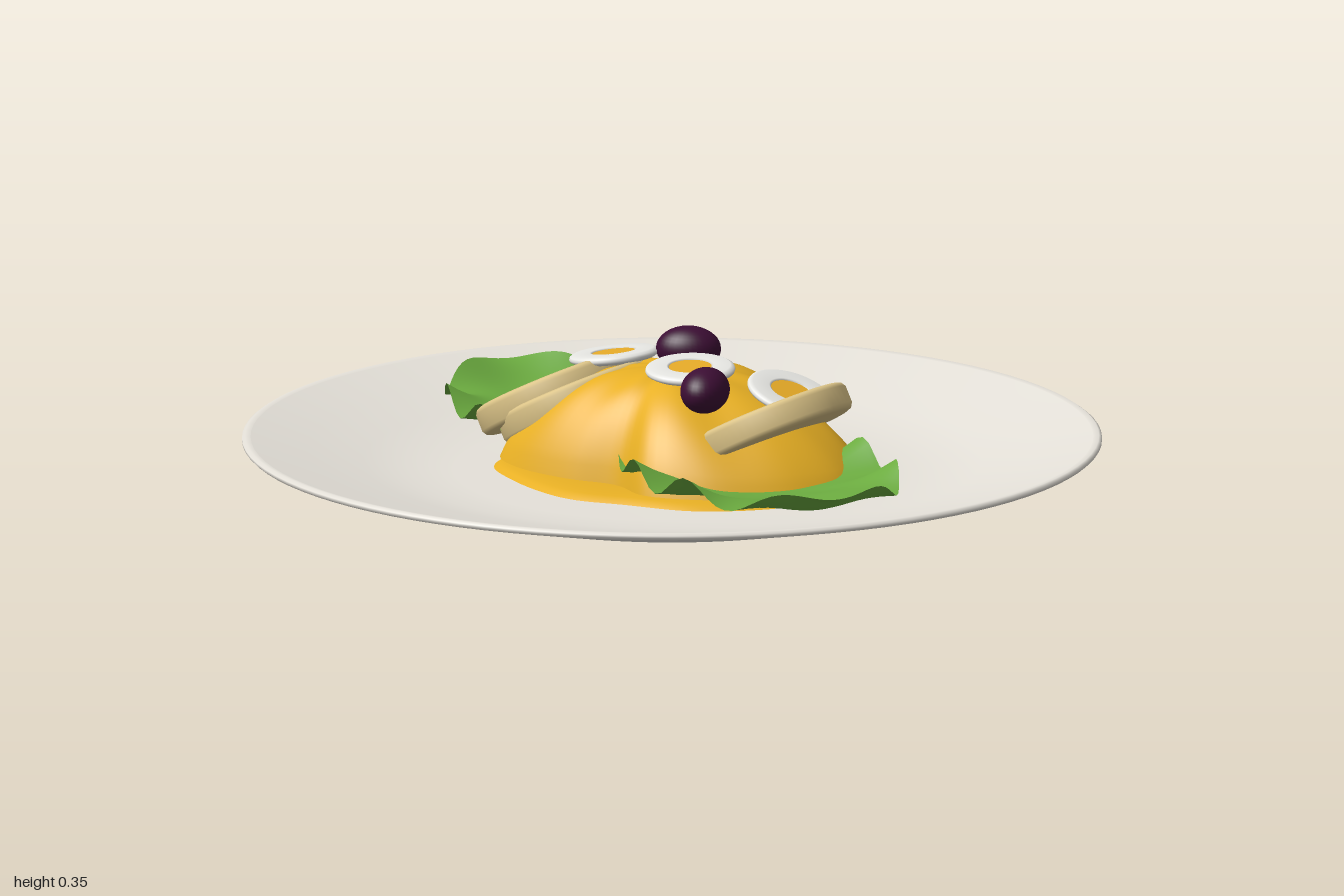
import * as THREE from 'three';

const mat = (name, color, side = THREE.FrontSide) => {
  const m = new THREE.MeshStandardMaterial({ color, side });
  m.name = name;
  return m;
};

// Surface of rings shrinking from a closed outline to its centre; height(r, x, z, angle)
function mound(outline, height, rings = 24, sides = 96) {
  const pos = [], idx = [];
  for (let i = 0; i <= rings; i++) {
    for (let j = 0; j < sides; j++) {
      const r = i / rings, p = outline(j / sides), x = p.x * r, z = p.z * r;
      pos.push(x, height(r, x, z, Math.atan2(p.z, p.x)), z);
      if (i === rings) continue;
      const a = i * sides + j, b = i * sides + (j + 1) % sides;
      if (i > 0) idx.push(a, b, a + sides);
      idx.push(b, b + sides, a + sides);
    }
  }
  const g = new THREE.BufferGeometry();
  g.setAttribute('position', new THREE.Float32BufferAttribute(pos, 3));
  g.setIndex(idx);
  g.computeVertexNormals();
  return g;
}

const closedOutline = (pts) => {
  const c = new THREE.CatmullRomCurve3(pts.map(([x, z]) => new THREE.Vector3(x, 0, z)), true);
  return (t) => c.getPoint(t);
};

const lathe = (pts, n = 48) =>
  new THREE.LatheGeometry(pts.map(([x, y]) => new THREE.Vector2(x, y)), n);

export function createModel() {
  const model = new THREE.Group();
  const ceramic = mat('plateCeramic', 0xe6e2da);
  const sauce = mat('yellowSauce', 0xe8b024, THREE.DoubleSide);
  const green = mat('lettuceGreen', 0x6cac40, THREE.DoubleSide);
  const potato = mat('potatoCream', 0xdcc488);
  const white = mat('eggWhite', 0xf0f0ec);
  const yolk = mat('eggYolk', 0xe8ac28);
  const purple = mat('olivePurple', 0x3c0e34);

  const add = (name, geo, m, parent = model) => {
    const mesh = new THREE.Mesh(geo, m);
    mesh.name = name;
    parent.add(mesh);
    return mesh;
  };

  // Plate: flat foot and flared wall below, smooth shallow well above
  add('plateUnderside', lathe([[0, 0], [0.56, 0]], 96), ceramic);
  add('plateWall', lathe([[0.56, 0], [0.995, 0.108]], 96), ceramic);
  add('plateRim', lathe([[0.995, 0.108], [1, 0.113], [1, 0.119], [0.993, 0.124], [0.98, 0.122]], 96), ceramic);
  add('plateWell', lathe([[0.98, 0.122], [0.85, 0.092], [0.72, 0.064], [0.62, 0.047], [0.5, 0.04], [0, 0.04]], 96), ceramic);

  // Sauce puddle on the plate
  const puddle = closedOutline([
    [0.49, -0.05], [0.44, 0.15], [0.3, 0.3], [0.12, 0.35], [0, 0.38], [-0.1, 0.365],
    [-0.25, 0.3], [-0.36, 0.22], [-0.41, 0.08], [-0.43, -0.05], [-0.38, -0.18],
    [-0.2, -0.24], [0, -0.3], [0.15, -0.31], [0.28, -0.27], [0.43, -0.18]]);
  add('saucePuddle', mound(puddle, (r) => 0.036 + 0.026 * Math.sqrt(1 - r ** 6)), sauce);

  // Two wavy lettuce leaves, half a turn apart
  const leafOutline = (t) => {
    const a = t * Math.PI * 2;
    return new THREE.Vector3(0.43 * Math.cos(a), 0, 0.29 * Math.sin(a));
  };
  const leafHeight = (r, x, z, a) => 0.075 + 0.055 * r * r
    + 0.02 * r * r * Math.sin(26 * x + 3 * z)
    + 0.01 * r ** 3 * Math.sin(9 * a + 1);
  const leafGeo = mound(leafOutline, leafHeight);
  leafGeo.rotateY(-0.43);
  leafGeo.translate(-0.36, 0, -0.14);
  ['rightLeaf', 'leftLeaf'].forEach((name, i) => {
    add(name, leafGeo, green).rotation.y = i * Math.PI;
  });

  // Sauce draped over the potatoes
  const drape = closedOutline([
    [0.5, -0.03], [0.46, 0.09], [0.38, 0.19], [0.28, 0.27], [0.15, 0.31], [0.04, 0.265],
    [-0.1, 0.28], [-0.25, 0.26], [-0.35, 0.2], [-0.4, 0.08], [-0.41, -0.06], [-0.36, -0.19],
    [-0.2, -0.24], [-0.07, -0.25], [0.04, -0.315], [0.18, -0.315], [0.31, -0.235], [0.45, -0.16]]);
  add('sauceDrape', mound(drape, (r, x, z, a) => {
    const p = 2.2 + 1.2 * Math.sin(a) ** 2;
    return 0.06 + 0.23 * (1 - r ** p) ** 0.8 + 0.008 * Math.sin(9 * a) * r * r * (1 - r) * 4;
  }, 32), sauce);

  // Leaning potato slices with softened edges
  const sliceGeo = lathe([[0, -0.034], [0.175, -0.034], [0.186, -0.03], [0.192, -0.02],
    [0.192, 0.02], [0.186, 0.03], [0.175, 0.034], [0, 0.034]], 56);
  [[-0.335, 0.178, 0.005], [-0.26, 0.172, 0.02], [-0.05, 0.178, -0.03], [0.3, 0.195, 0.01]]
    .forEach(([x, y, z], i) => {
      const s = add('potatoSlice' + (i + 1), sliceGeo, potato);
      s.position.set(x, y, z);
      s.rotation.z = 0.48;
    });

  // Egg slices: rounded white ring around a yolk disc
  const ringGeo = lathe([[0.05, -0.01], [0.094, -0.01], [0.103, -0.005], [0.105, 0],
    [0.103, 0.006], [0.094, 0.011], [0.055, 0.011], [0.05, 0.008], [0.05, -0.01]]);
  const yolkGeo = new THREE.CylinderGeometry(0.051, 0.051, 0.016, 32);
  [[-0.2, 0.28, -0.04, 0, 0.14], [0.08, 0.299, 0.035, 0.08, -0.03], [0.32, 0.262, -0.035, 0, -0.36]]
    .forEach(([x, y, z, rx, rz], i) => {
      const egg = new THREE.Group();
      egg.name = 'eggSlice' + (i + 1);
      egg.position.set(x, y, z);
      egg.rotation.set(rx, 0, rz);
      add('eggWhiteRing', ringGeo, white, egg);
      add('eggYolkDisc', yolkGeo, yolk, egg);
      model.add(egg);
    });

  // Olives
  const oliveGeo = new THREE.SphereGeometry(1, 32, 20).scale(0.076, 0.053, 0.056);
  [[-0.052, 0.3, -0.132, 0.55], [0.203, 0.287, 0.14, -1.2]].forEach(([x, y, z, ry], i) => {
    const o = add('olive' + (i + 1), oliveGeo, purple);
    o.position.set(x, y, z);
    o.rotation.y = ry;
  });

  return model;
}
